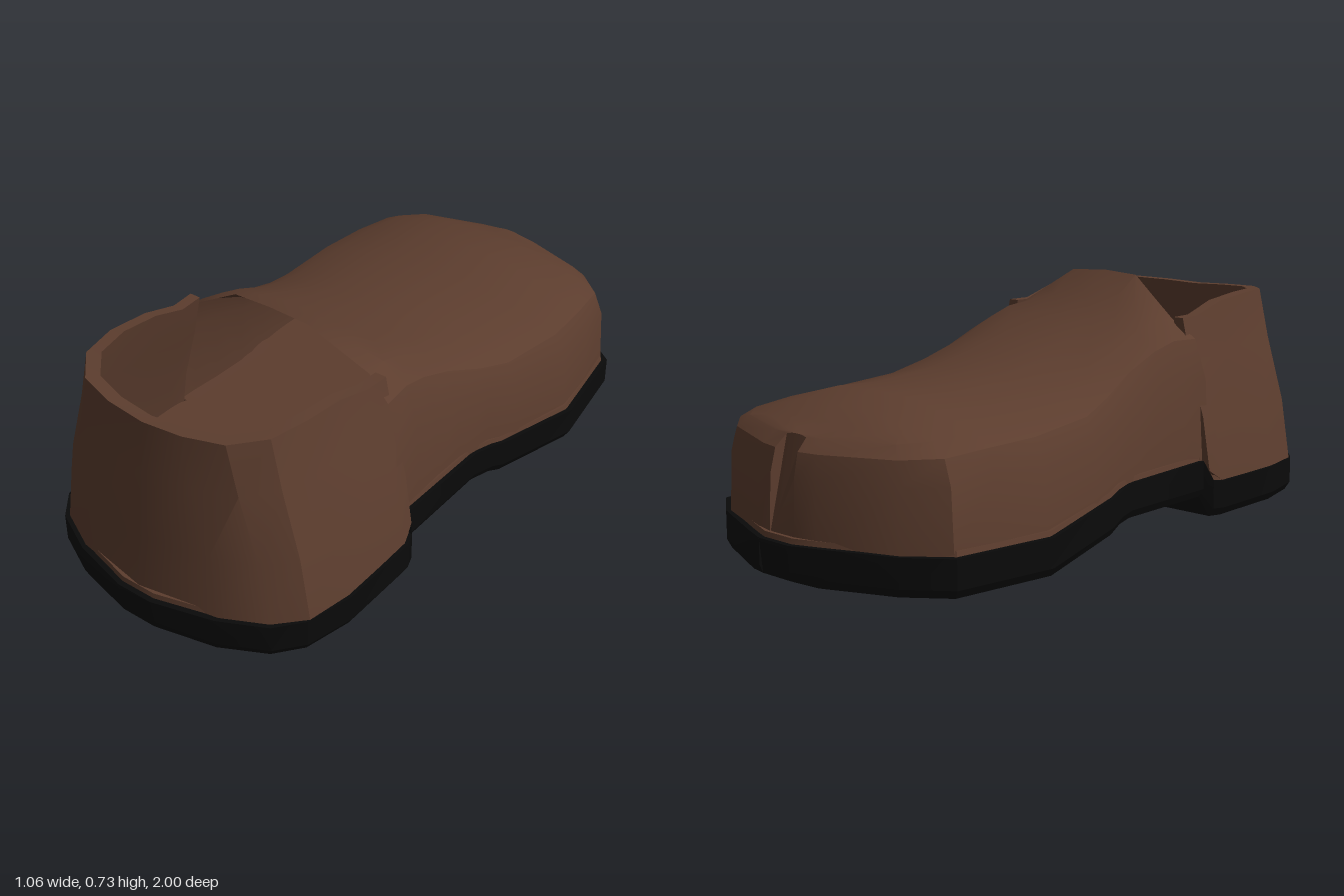
import * as THREE from 'three';
import { toCreasedNormals } from 'three/addons/utils/BufferGeometryUtils.js';

const leather = new THREE.MeshStandardMaterial({ color: 0x5c3d2e, side: THREE.DoubleSide });
leather.name = 'brown leather';
const rubber = new THREE.MeshStandardMaterial({ color: 0x0a0a0a });
rubber.name = 'black rubber';

const lerp = THREE.MathUtils.lerp;

// Joins cross-sections (arrays of [x, y, z]) into a skin; closed makes each section a ring.
function loft(name, sections, material, { closed = false, capStart = false, capEnd = false } = {}) {
  const n = sections[0].length, index = [];
  const spans = closed ? n : n - 1;
  for (let i = 0; i < sections.length - 1; i++) {
    for (let j = 0; j < spans; j++) {
      const k = (j + 1) % n;
      const a = i * n + j, b = i * n + k, c = b + n, d = a + n;
      index.push(a, d, c, a, c, b);
    }
  }
  const last = (sections.length - 1) * n;
  for (let k = 1; k < n - 1; k++) {
    if (capStart) index.push(0, k, k + 1);
    if (capEnd) index.push(last, last + k + 1, last + k);
  }
  const geometry = new THREE.BufferGeometry();
  geometry.setAttribute('position', new THREE.Float32BufferAttribute(sections.flat(2), 3));
  geometry.setIndex(index);
  const mesh = new THREE.Mesh(toCreasedNormals(geometry, 0.45), material);
  mesh.name = name;
  return mesh;
}

// Sole stations from heel to toe: z, half width, bottom y, top y
const SOLE = [
  [1.0, 0.06, 0.01, 0.11], [0.95, 0.25, 0, 0.11], [0.88, 0.39, 0, 0.11], [0.8, 0.455, 0, 0.11],
  [0.65, 0.49, 0, 0.11], [0.38, 0.49, 0, 0.11], [0.34, 0.475, 0, 0.115], [0.32, 0.45, 0.062, 0.175],
  [-0.03, 0.45, 0.062, 0.168], [-0.1, 0.47, 0.06, 0.165], [-0.15, 0.478, 0.04, 0.15],
  [-0.47, 0.53, 0, 0.11], [-0.79, 0.48, 0, 0.11], [-0.88, 0.36, 0, 0.11],
  [-0.97, 0.14, 0, 0.11], [-1.0, 0.06, 0.01, 0.11],
];

// Height of the top of the sole at z
function soleTop(z) {
  for (let i = 0; i < SOLE.length - 1; i++) {
    const p = SOLE[i], q = SOLE[i + 1];
    if (z <= p[0] && z >= q[0]) return lerp(p[3], q[3], (p[0] - z) / (p[0] - q[0]));
  }
  return 0.11;
}

const mirrorX = ([x, y, z]) => [-x, y, z];

// Vamp stations from tongue to toe: base x, base z, shoulder x, z, y, crown y, crown z
const VAMP = [
  [0.44, 0.36, 0.31, 0.33, 0.605, 0.73, 0.38],
  [0.435, 0.25, 0.30, 0.25, 0.60, 0.655, 0.28],
  [0.43, 0.15, 0.30, 0.17, 0.575, 0.60, 0.17],
  [0.43, 0.03, 0.30, 0.04, 0.52, 0.55, 0.04],
  [0.45, -0.1, 0.34, -0.1, 0.46, 0.51, -0.1],
  [0.475, -0.22, 0.365, -0.22, 0.425, 0.478, -0.22],
  [0.505, -0.47, 0.375, -0.45, 0.41, 0.457, -0.45],
  [0.485, -0.64, 0.375, -0.62, 0.405, 0.467, -0.62],
  [0.46, -0.78, 0.36, -0.76, 0.395, 0.445, -0.76],
  [0.35, -0.87, 0.30, -0.83, 0.39, 0.415, -0.83],
  [0.12, -0.955, 0.10, -0.90, 0.385, 0.392, -0.90],
  [0.05, -0.97, 0.04, -0.91, 0.385, 0.39, -0.91],
];

function vampSection([bx, bz, sx, sz, sy, cy, cz]) {
  const by = soleTop(bz);
  const side = [[0, 0], [0.12, 0.63], [0.4, 0.88], [1, 1]]
    .map(([f, g]) => [lerp(bx, sx, f), lerp(by, sy, g), lerp(bz, sz, f)]);
  const crown = [[0.72, 0.45], [0.42, 0.94]]
    .map(([f, h]) => [sx * f, lerp(sy, cy, h), lerp(sz, cz, h)]);
  const half = [...side, ...crown];
  return [...half, [0, cy, cz], ...half.map(mirrorX).reverse()];
}

// Heel counter half outline from front edge to back: base x, z, rim x, z, y
const COUNTER = [
  [0.465, 0.33, 0.36, 0.32, 0.61], [0.478, 0.38, 0.355, 0.40, 0.61],
  [0.48, 0.5, 0.355, 0.52, 0.645], [0.48, 0.65, 0.355, 0.66, 0.66],
  [0.455, 0.79, 0.33, 0.78, 0.66], [0.38, 0.87, 0.25, 0.865, 0.655],
  [0.25, 0.935, 0.13, 0.90, 0.65], [0, 0.98, 0, 0.91, 0.645],
];

function counterSection([bx, bz, tx, tz, ty]) {
  const by = soleTop(bz);
  const outer = [[0, 0], [0.25, 0.35], [0.72, 0.72], [1, 1]]
    .map(([f, g]) => [lerp(bx, tx, f), lerp(by, ty, g), lerp(bz, tz, f)]);
  const inner = outer.map(([x, y, z]) => [x * 0.9, y, z > 0.4 ? lerp(0.4, z, 0.93) : z]).reverse();
  return [...outer, ...inner];
}

export function createModel() {
  const shoe = new THREE.Group();
  shoe.name = 'shoe';
  const solid = { closed: true, capStart: true, capEnd: true };

  // Sole with raised heel, arch and slightly bevelled bottom edge
  const soleSections = SOLE.map(([z, w, b, t]) => {
    const half = [[w * 0.97, b, z * 0.99], [w, b + 0.025, z], [w, t, z]];
    return [...half, ...half.map(mirrorX).reverse()];
  });
  shoe.add(loft('sole', soleSections, rubber, solid));

  // Thin leather lip between sole and upper
  const weltSections = SOLE.map(([z, w, , t]) => {
    const half = [[w * 0.975, t - 0.01, z * 0.985], [w * 0.965, t + 0.015, z * 0.98]];
    return [...half, ...half.map(mirrorX).reverse()];
  });
  shoe.add(loft('welt', weltSections, leather, solid));

  // Front upper, running from the tongue to the toe
  shoe.add(loft('vampAndTongue', VAMP.map(vampSection), leather, { capEnd: true }));

  // Heel counter wrapping around the back, with a thick rim
  const left = COUNTER.map(counterSection);
  const right = left.slice(0, -1).map((s) => s.map(mirrorX));
  shoe.add(loft('heelCounter', [...right, ...left.reverse()], leather, solid));

  // Floor inside the shoe
  const floor = SOLE.filter(([z]) => z < 0.96 && z > -0.5)
    .map(([z, w]) => [[w * 0.85, 0.2, z * 0.94], [-w * 0.85, 0.2, z * 0.94]]);
  shoe.add(loft('insole', floor, leather));

  return shoe;
}
